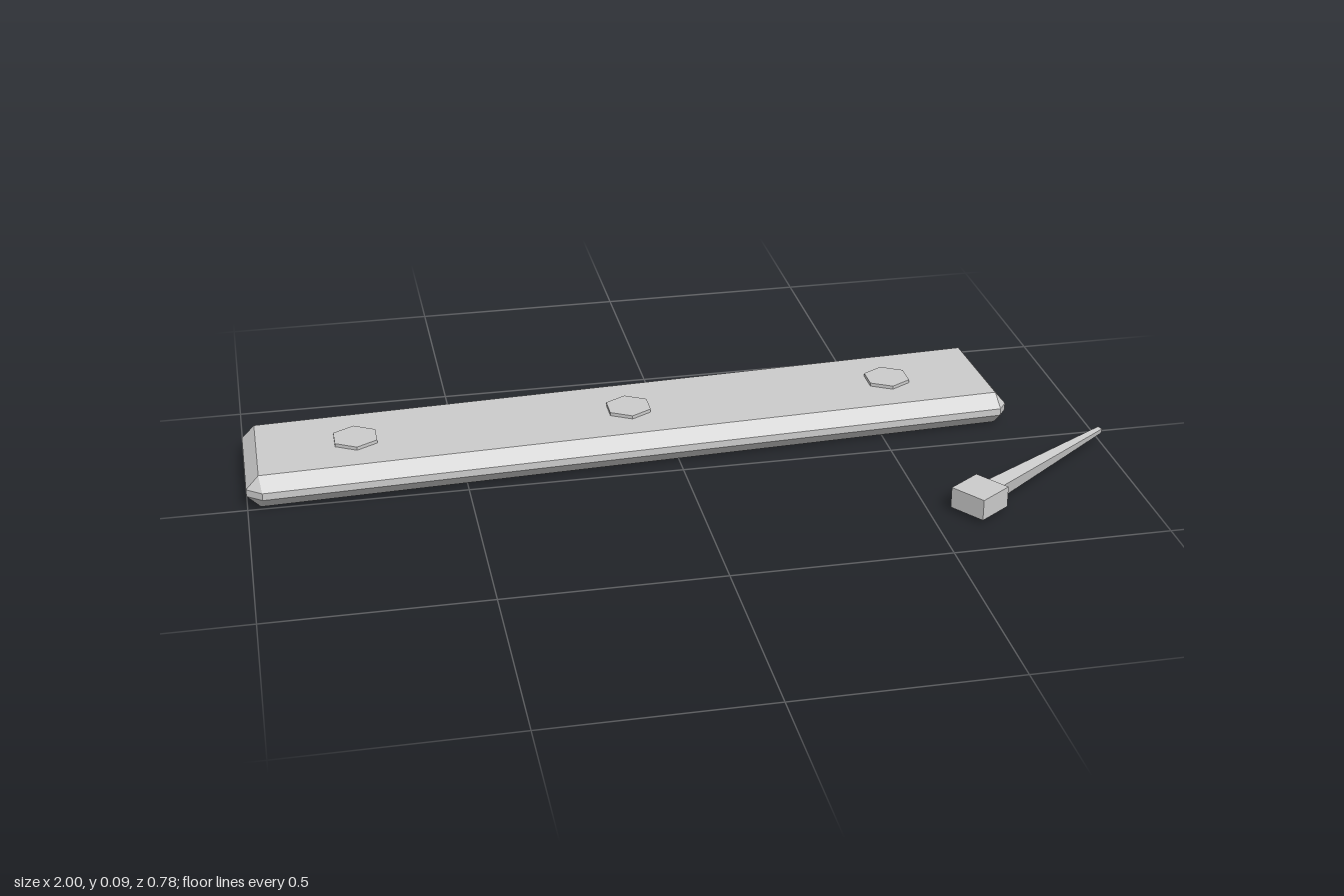
import * as THREE from 'three';
import { ConvexGeometry } from 'three/addons/geometries/ConvexGeometry.js';

export function createModel() {
  const model = new THREE.Group();
  model.name = 'plankWithNail';
  const grey = new THREE.MeshStandardMaterial({ color: 0xcccccc, flatShading: true });
  grey.name = 'plainGrey';

  const add = (parent, name, geometry, x = 0, y = 0, z = 0) => {
    const mesh = new THREE.Mesh(geometry, grey);
    mesh.name = name;
    mesh.position.set(x, y, z);
    parent.add(mesh);
    return mesh;
  };

  // Plank: flat faces above and below, bevelled out to a thin eight-cornered rim
  const face = [[-0.97, -0.27], [0.775, -0.363], [0.785, -0.098], [-0.97, -0.012]];
  const rim = [
    [-1, -0.27], [-0.98, -0.297], [0.77, -0.392], [0.8, -0.365],
    [0.81, -0.095], [0.79, -0.067], [-0.965, 0.02], [-1, -0.007],
  ];
  const layers = [[face, 0.001], [rim, 0.033], [rim, 0.05], [face, 0.08]];
  const points = layers.flatMap(([ring, y]) => ring.map(([x, z]) => new THREE.Vector3(x, y, z)));
  add(model, 'plank', new ConvexGeometry(points));

  // Hexagonal nail heads along the top of the plank
  for (const [x, z] of [[-0.743, -0.15], [-0.096, -0.184], [0.548, -0.219]]) {
    add(model, 'plankNailHead', new THREE.CylinderGeometry(0.056, 0.056, 0.018, 6), x, 0.079, z);
  }

  // Loose nail: square head and a tapered four-sided shaft, slightly rolled
  const nail = new THREE.Group();
  nail.name = 'looseNail';
  nail.position.set(0.612, 0.034, 0.325);
  nail.rotation.y = THREE.MathUtils.degToRad(35);
  model.add(nail);
  add(nail, 'looseNailHead', new THREE.BoxGeometry(0.09, 0.05, 0.09), 0, 0.001, 0);

  const start = 0.04, end = 0.468;
  const shaft = new THREE.CylinderGeometry(0.0085, 0.0265, end - start, 4);
  shaft.rotateY(Math.PI / 4);
  shaft.rotateZ(-Math.PI / 2);
  shaft.rotateX(THREE.MathUtils.degToRad(10));
  add(nail, 'looseNailShaft', shaft, (start + end) / 2, 0, 0);

  return model;
}
